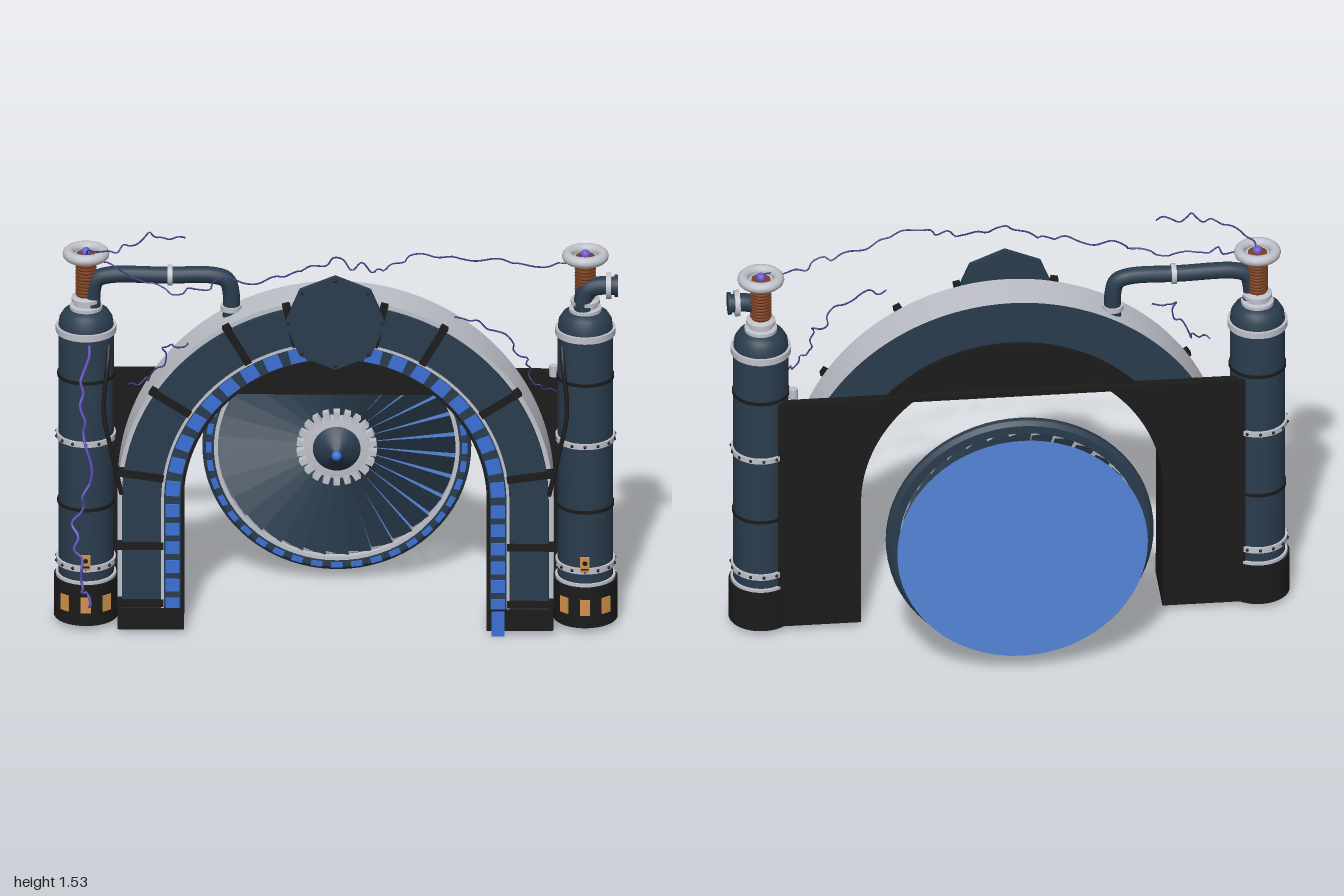
import * as THREE from 'three';
import { toCreasedNormals } from 'three/addons/utils/BufferGeometryUtils.js';

const mat = (name, color, side = THREE.FrontSide) => {
  const m = new THREE.MeshStandardMaterial({ color, side });
  m.name = name;
  return m;
};

export function createModel() {
  const steel = mat('dark blue steel', 0x2a3c4d, THREE.DoubleSide);
  const black = mat('black iron', 0x1b1b1b);
  const silver = mat('silver', 0xc0c2cb);
  const glow = mat('blue glow', 0x3b70d6);
  const field = mat('blue field', 0x5585d8, THREE.DoubleSide);
  const copper = mat('copper coil', 0x7c4022);
  const amber = mat('amber', 0xd0924a);
  const violet = mat('violet', 0x6a5acd);
  const spark = mat('dark spark', 0x463c88);

  const model = new THREE.Group();
  model.name = 'portal';
  const CY = 0.515; // shared centre height of arch and wheel

  const group = (name, parent = model) => {
    const g = new THREE.Group();
    g.name = name;
    parent.add(g);
    return g;
  };
  const add = (parent, name, geo, material, x = 0, y = 0, z = 0) => {
    const m = new THREE.Mesh(geo, material);
    m.name = name;
    m.position.set(x, y, z);
    parent.add(m);
    return m;
  };
  const box = (w, h, d) => new THREE.BoxGeometry(w, h, d);
  const cyl = (r, h, n = 32) => new THREE.CylinderGeometry(r, r, h, n);
  const lathe = (pts, n = 40) =>
    toCreasedNormals(new THREE.LatheGeometry(pts.map(p => new THREE.Vector2(...p)), n), 0.6);
  const tube = (pts, r, segs = 40, radial = 12) => new THREE.TubeGeometry(
    new THREE.CatmullRomCurve3(pts.map(p => new THREE.Vector3(...p)), false, 'centripetal'), segs, r, radial);

  // Round arch standing on straight legs
  const archGeo = (rOut, rIn, bottom, depth) => {
    const s = new THREE.Shape();
    s.moveTo(rOut, bottom).lineTo(rOut, CY).absarc(0, CY, rOut, 0, Math.PI, false);
    s.lineTo(-rOut, bottom).lineTo(-rIn, bottom).lineTo(-rIn, CY);
    s.absarc(0, CY, rIn, Math.PI, 0, true).lineTo(rIn, bottom);
    return toCreasedNormals(new THREE.ExtrudeGeometry(s, { depth, bevelEnabled: false, curveSegments: 48 }), 0.5);
  };

  // Arch: silver-edged barrel, steel face plate, black lining, cell track
  const arch = group('arch');
  add(arch, 'archBarrel', archGeo(0.77, 0.6, 0.03, 0.158), [steel, silver], 0, 0, 0.072);
  add(arch, 'outerTrim', archGeo(0.77, 0.74, 0.03, 0.006), silver, 0, 0, 0.23);
  add(arch, 'facePlate', archGeo(0.754, 0.612, 0.03, 0.025), steel, 0, 0, 0.23);
  add(arch, 'innerTrim', archGeo(0.615, 0.605, 0.03, 0.028), silver, 0, 0, 0.23);
  add(arch, 'archLining', archGeo(0.608, 0.535, 0.03, 0.192), black, 0, 0, 0.055);
  add(arch, 'cellTrack', archGeo(0.606, 0.546, 0.03, 0.006), steel, 0, 0, 0.245);

  // Flat lintel filling the crown of the opening
  const lintelY = 0.92, a0 = Math.asin((lintelY - CY) / 0.537);
  const lintel = new THREE.Shape().absarc(0, CY, 0.537, a0, Math.PI - a0, false);
  add(arch, 'lintel', new THREE.ExtrudeGeometry(lintel, { depth: 0.17, bevelEnabled: false, curveSegments: 32 }), black, 0, 0, 0.07);

  // Back wall with the same opening
  const wall = new THREE.Shape();
  wall.moveTo(0.83, 0.02).lineTo(0.83, 0.935).lineTo(-0.83, 0.935).lineTo(-0.83, 0.02).lineTo(-0.535, 0.02);
  wall.lineTo(-0.535, CY).absarc(0, CY, 0.535, Math.PI, Math.PI - a0, true);
  wall.absarc(0, CY, 0.535, a0, 0, true).lineTo(0.535, 0.02);
  add(arch, 'backWall', new THREE.ExtrudeGeometry(wall, { depth: 0.035, bevelEnabled: false, curveSegments: 32 }), black, 0, 0, 0.037);
  add(arch, 'wallFitting', cyl(0.016, 0.04, 16), silver, 0.77, 0.95, 0.09);

  // Straps and glowing cells around the curve
  const onArch = (name, geo, material, r, angle, z) => {
    const m = add(arch, name, geo, material, Math.cos(angle) * r, CY + Math.sin(angle) * r, z);
    m.rotation.z = angle;
  };
  for (const deg of [8, 33, 60, 77, 103, 120, 147, 172])
    onArch('strap', box(0.165, 0.026, 0.03), black, 0.695, deg * Math.PI / 180, 0.25);
  for (let i = 0; i < 20; i++)
    onArch('glowCell', box(0.05, 0.056, 0.008), glow, 0.575, (i + 0.5) * Math.PI / 20, 0.254);

  for (const s of [1, -1]) {
    add(arch, 'foot', box(0.235, 0.08, 0.213), black, s * 0.6525, 0.06, 0.1585);
    for (const y of [0.34, 0.12]) add(arch, 'legStrap', box(0.165, 0.026, 0.03), black, s * 0.69, y, 0.25);
    for (let i = 0; i < 6; i++) add(arch, 'legCell', box(0.05, 0.046, 0.008), glow, s * 0.575, 0.475 - i * 0.072, 0.254);
  }
  add(arch, 'lowerStrip', box(0.045, 0.095, 0.008), glow, 0.575, 0.0475, 0.264);

  // Eight-sided crest
  const crest = add(arch, 'crest', cyl(0.178, 0.022, 8), steel, 0, 1.21, 0.266);
  crest.geometry = toCreasedNormals(crest.geometry, 0.5);
  crest.rotation.x = Math.PI / 2;
  for (let i = 0; i < 8; i++) {
    const a = i * Math.PI / 4;
    add(arch, 'crestBolt', new THREE.SphereGeometry(0.006, 8, 6), black, Math.cos(a) * 0.165, 1.21 + Math.sin(a) * 0.165, 0.277);
  }

  // Towers
  for (const s of [1, -1]) {
    const t = group(s > 0 ? 'leftTower' : 'rightTower');
    t.position.set(s * 0.882, 0, 0.125);
    add(t, 'base', cyl(0.114, 0.155), black, 0, 0.0975, 0);
    add(t, 'body', lathe([[0.098, 0.17], [0.098, 1.13], [0.094, 1.165], [0.08, 1.188], [0.058, 1.2], [0, 1.203]]), steel);
    for (const [y, r, h] of [[0.18, 0.107, 0.012], [0.235, 0.106, 0.022], [0.715, 0.106, 0.02], [1.125, 0.107, 0.024]])
      add(t, 'silverBand', cyl(r, h), silver, 0, y, 0);
    for (const y of [0.46, 0.95]) add(t, 'blackBand', cyl(0.102, 0.012), black, 0, y, 0);
    for (const y of [0.235, 0.715]) for (let i = 0; i < 14; i++) {
      const a = i * Math.PI / 7;
      add(t, 'bolt', new THREE.SphereGeometry(0.006, 8, 6), black, Math.sin(a) * 0.106, y, Math.cos(a) * 0.106);
    }
    for (const a of [-0.7, 0, 0.7]) {
      const w = add(t, 'window', box(0.036, 0.06, 0.009), amber, Math.sin(a) * 0.113, 0.1, Math.cos(a) * 0.113);
      w.rotation.y = a;
    }
    // Gauge plate on a short bracket
    add(t, 'gaugeBracket', box(0.018, 0.03, 0.045), black, 0, 0.275, 0.112);
    add(t, 'gaugePlate', box(0.034, 0.056, 0.009), amber, 0, 0.275, 0.136);
    add(t, 'gaugeMark', new THREE.CircleGeometry(0.009, 16), black, 0, 0.282, 0.141);
    add(t, 'gaugeBar', box(0.026, 0.006, 0.004), black, 0, 0.259, 0.14);
    // Insulator neck, coil and crown ring
    add(t, 'neck', lathe([[0.058, 1.195], [0.058, 1.212], [0.043, 1.215], [0.043, 1.228], [0.052, 1.23], [0.052, 1.243], [0.035, 1.25], [0, 1.25]], 24), silver);
    add(t, 'coilCore', cyl(0.034, 0.17, 20), copper, 0, 1.325, 0);
    for (let i = 0; i < 11; i++) {
      const c = add(t, 'coilTurn', new THREE.TorusGeometry(0.032, 0.006, 6, 20), copper, 0, 1.258 + i * 0.0125, 0);
      c.rotation.x = Math.PI / 2;
    }
    add(t, 'crownRing', new THREE.TorusGeometry(0.063, 0.02, 12, 36), silver, 0, 1.41, 0).rotation.x = Math.PI / 2;
    add(t, 'crownPlate', cyl(0.05, 0.012, 24), silver, 0, 1.4, 0);
    add(t, 'crownOrb', new THREE.SphereGeometry(0.018, 12, 8), violet, 0, 1.415, 0);
    // Cable to the arch
    add(model, 'cable', tube([[s * 0.8, 1.08, 0.18], [s * 0.805, 1.02, 0.215], [s * 0.818, 0.85, 0.24], [s * 0.79, 0.7, 0.255], [s * 0.755, 0.54, 0.258]], 0.008, 24, 8), black);
  }

  // Pipes with flanges
  const pipes = group('pipes');
  const flange = (x, y, z, axis, r = 0.037) => {
    const f = add(pipes, 'flange', cyl(r, 0.018, 24), silver, x, y, z);
    if (axis === 'x') f.rotation.z = Math.PI / 2;
  };
  add(pipes, 'longPipe', tube([[-0.86, 1.2, 0.135], [-0.86, 1.27, 0.135], [-0.845, 1.315, 0.135], [-0.8, 1.332, 0.135], [-0.6, 1.332, 0.135],
    [-0.43, 1.332, 0.135], [-0.385, 1.315, 0.135], [-0.37, 1.27, 0.135], [-0.37, 1.14, 0.135]], 0.03, 64, 16), steel);
  flange(-0.585, 1.332, 0.135, 'x');
  flange(-0.37, 1.21, 0.135, 'y');
  add(pipes, 'shortPipe', tube([[0.875, 1.2, 0.145], [0.875, 1.25, 0.145], [0.89, 1.288, 0.145], [0.93, 1.303, 0.145], [0.995, 1.303, 0.145]], 0.033, 32, 16), steel);
  flange(0.965, 1.303, 0.145, 'x', 0.047);
  add(pipes, 'pipeCap', cyl(0.04, 0.012, 24), steel, 0.992, 1.303, 0.145).rotation.z = Math.PI / 2;

  // Turbine wheel, built around its own axis
  const wheel = group('wheel');
  wheel.position.set(0, CY, -0.23);
  const spun = (name, pts, material, n = 72) => add(wheel, name, lathe(pts, n), material).rotation.x = Math.PI / 2;
  spun('rim', [[0.43, -0.026], [0.46, -0.026], [0.475, -0.012], [0.475, 0.008], [0.46, 0.02], [0.43, 0.02], [0.43, -0.026]], steel);
  spun('rimTrim', [[0.42, 0], [0.434, 0], [0.434, 0.024], [0.42, 0.024], [0.42, 0]], silver);
  spun('hubPlate', [[0, -0.025], [0.115, -0.025], [0.115, 0.026], [0.085, 0.03], [0, 0.03]], silver, 40);
  spun('hubCone', [[0.086, 0.028], [0.08, 0.036], [0.05, 0.058], [0.025, 0.08], [0.012, 0.095], [0, 0.097]], steel, 32);
  add(wheel, 'hubTip', new THREE.SphereGeometry(0.018, 16, 12), glow, 0, 0, 0.094);
  add(wheel, 'fieldDisc', new THREE.CircleGeometry(0.445, 64), field, 0, 0, -0.1);

  const around = (n, fn) => {
    for (let i = 0; i < n; i++) {
      const g = group('spoke', wheel);
      g.rotation.z = i * 2 * Math.PI / n;
      fn(g);
    }
  };
  const blade = new THREE.ShapeGeometry(new THREE.Shape([[-0.014, 0.1], [0.014, 0.1], [0.049, 0.422], [-0.049, 0.422]].map(p => new THREE.Vector2(...p))));
  around(32, g => { add(g, 'blade', blade, steel, 0, 0, -0.01).rotation.y = 0.48; });
  around(22, g => add(g, 'hubTooth', box(0.022, 0.032, 0.03), silver, 0, 0.126, 0.014));
  around(40, g => add(g, 'rimGlow', box(0.04, 0.02, 0.008), glow, 0, 0.452, 0.02));

  // Electric arcs: jagged thin tubes through a few points
  let seed = 7;
  const rnd = () => (seed = (seed * 16807) % 2147483647) / 2147483647 - 0.5;
  const arcs = group('electricArcs');
  const bolt = (pts, material = spark, r = 0.003) => {
    const path = [];
    for (let i = 0; i < pts.length - 1; i++) for (let k = 0; k < 5; k++)
      path.push(pts[i].map((v, c) => v + (pts[i + 1][c] - v) * k / 5 + (i + k ? rnd() * 0.03 : 0)));
    path.push(pts[pts.length - 1]);
    add(arcs, 'arc', tube(path, r, path.length * 3, 6), material);
  };
  bolt([[-0.88, 1.41, 0.14], [-0.78, 1.47, 0.24], [-0.66, 1.52, 0.2], [-0.53, 1.51, 0.21]]);
  bolt([[-0.86, 1.41, 0.14], [-0.72, 1.37, 0.22], [-0.58, 1.32, 0.27], [-0.42, 1.37, 0.29], [-0.18, 1.4, 0.3]]);
  bolt([[-0.18, 1.4, 0.3], [0, 1.46, 0.3], [0.15, 1.43, 0.31], [0.3, 1.47, 0.29], [0.55, 1.44, 0.23], [0.72, 1.39, 0.2], [0.87, 1.42, 0.14]]);
  bolt([[-0.52, 1.13, 0.27], [-0.6, 1.11, 0.28], [-0.65, 0.99, 0.28], [-0.73, 0.97, 0.27]]);
  bolt([[0.42, 1.24, 0.28], [0.58, 1.2, 0.29], [0.67, 1.08, 0.29], [0.7, 0.98, 0.28], [0.78, 0.94, 0.25]]);
  bolt([[-0.87, 1.1, 0.23], [-0.9, 0.88, 0.28], [-0.87, 0.65, 0.3], [-0.92, 0.42, 0.27], [-0.9, 0.22, 0.29], [-0.87, 0.1, 0.25]], violet, 0.005);
  return model;
}
